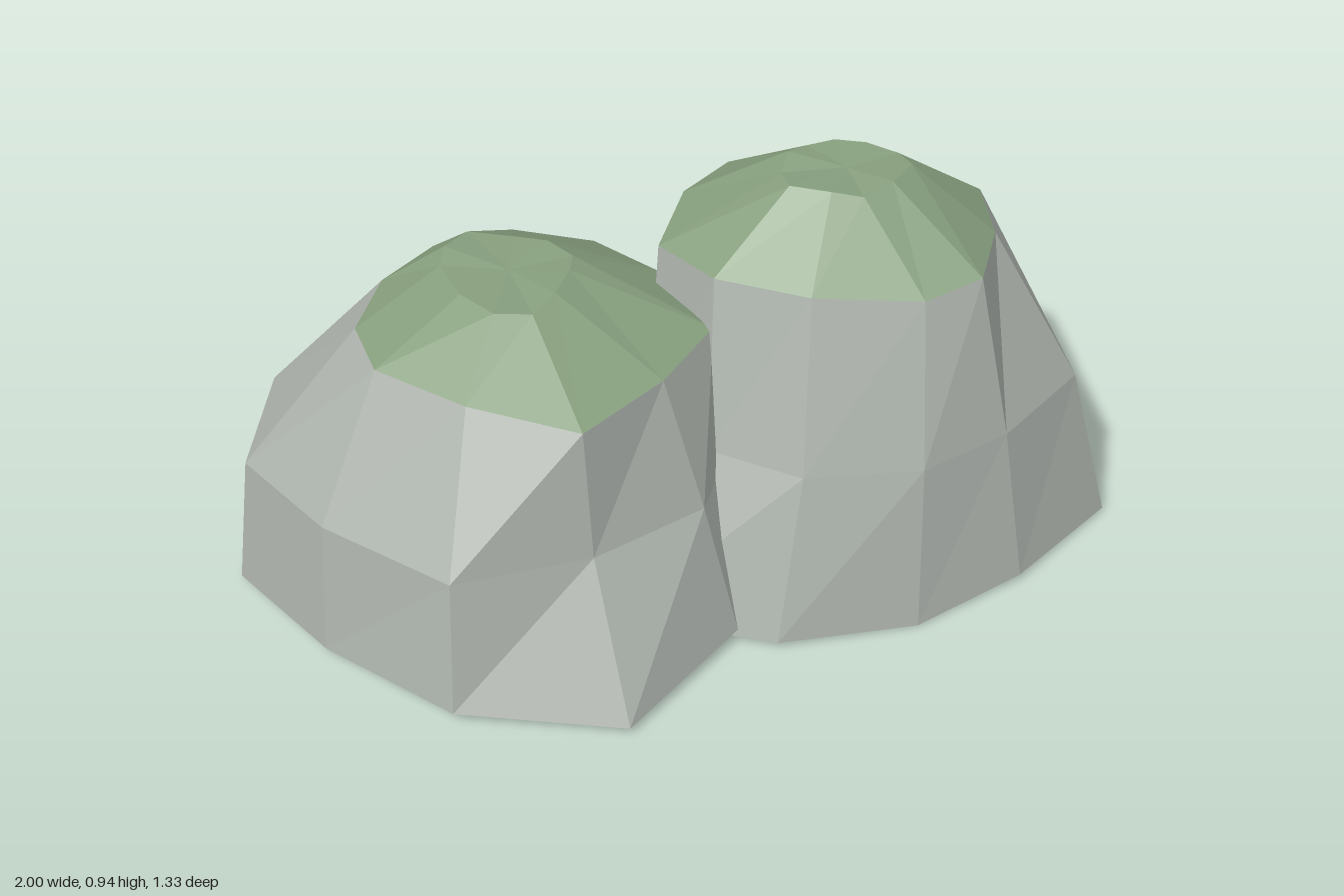
import * as THREE from 'three';

const SIDES = 11;
const material = (color) => new THREE.MeshStandardMaterial({ color, flatShading: true, side: THREE.DoubleSide });

// Place [x, z] outline points at a height, with a slight wobble
const ring = (y, points, wobble = 0) =>
  points.map(([x, z], i) => new THREE.Vector3(x, y + wobble * Math.sin(i * 2.3), z));

// Faceted skin through a stack of rings, optionally closed by a centre point
function skin(name, rings, mat, apex) {
  const pos = [];
  const tri = (...pts) => pts.forEach((p) => pos.push(p.x, p.y, p.z));
  for (let k = 0; k < rings.length - 1; k++) {
    const low = rings[k], up = rings[k + 1];
    for (let i = 0; i < SIDES; i++) {
      const j = (i + 1) % SIDES;
      tri(low[i], up[i], low[j]);
      tri(low[j], up[i], up[j]);
    }
  }
  if (apex) {
    const top = rings[rings.length - 1];
    top.forEach((p, i) => tri(p, apex, top[(i + 1) % SIDES]));
  }
  const geo = new THREE.BufferGeometry();
  geo.setAttribute('position', new THREE.Float32BufferAttribute(pos, 3));
  geo.computeVertexNormals();
  const mesh = new THREE.Mesh(geo, mat);
  mesh.name = name;
  return mesh;
}

// A rock: open-bottomed stone sides with a mossy cap
function rock(name, base, middle, shoulder, summit, apex, stone, moss) {
  const group = new THREE.Group();
  group.name = name;
  group.add(skin('stoneSides', [base, middle, shoulder], stone));
  group.add(skin('mossCap', [shoulder, summit], moss, apex));
  return group;
}

export function createModel() {
  const model = new THREE.Group();
  model.name = 'mossyRocks';
  const stone = material(0xacb2ac);
  const moss = material(0x879f7e);

  // Outlines run from +x round towards +z
  model.add(rock('tallRock',
    ring(0.01, [[1, -0.16], [0.8, 0.1], [0.57, 0.27], [0.26, 0.37], [-0.1, 0.31], [-0.24, 0],
      [-0.21, -0.33], [-0.04, -0.55], [0.27, -0.67], [0.6, -0.64], [0.91, -0.48]], 0.01),
    ring(0.4, [[0.9, -0.16], [0.74, 0.07], [0.56, 0.21], [0.3, 0.26], [0.09, 0.18], [-0.06, -0.02],
      [-0.07, -0.32], [0.0, -0.53], [0.28, -0.6], [0.57, -0.57], [0.77, -0.4]]),
    ring(0.78, [[0.69, -0.16], [0.66, 0.03], [0.54, 0.1], [0.3, 0.13], [0.09, 0.07], [-0.04, -0.06],
      [0.0, -0.25], [0.09, -0.4], [0.29, -0.45], [0.5, -0.42], [0.66, -0.34]], 0.01),
    ring(0.933, [[0.5, -0.18], [0.46, -0.1], [0.4, -0.05], [0.33, -0.05], [0.24, -0.07], [0.22, -0.13],
      [0.23, -0.2], [0.27, -0.24], [0.33, -0.27], [0.4, -0.25], [0.47, -0.23]], 0.006),
    new THREE.Vector3(0.36, 0.93, -0.16), stone, moss));

  model.add(rock('lowRock',
    ring(0.025, [[0.44, 0.11], [0.17, 0.35], [-0.04, 0.66], [-0.42, 0.66], [-0.73, 0.48], [-0.97, 0.25],
      [-1, -0.09], [-0.81, -0.4], [-0.41, -0.42], [-0.13, -0.4], [0.2, -0.13]], 0.008),
    ring(0.345, [[0.13, 0.1], [0.09, 0.31], [-0.13, 0.49], [-0.42, 0.6], [-0.72, 0.44], [-0.93, 0.24],
      [-0.93, -0.07], [-0.75, -0.35], [-0.39, -0.38], [-0.14, -0.33], [0.06, -0.15]]),
    ring(0.66, [[0.09, 0.08], [0, 0.28], [-0.15, 0.46], [-0.4, 0.4], [-0.61, 0.29], [-0.68, 0.14],
      [-0.65, -0.03], [-0.56, -0.18], [-0.39, -0.26], [-0.2, -0.22], [-0.05, -0.13]], 0.005),
    ring(0.78, [[-0.22, 0.06], [-0.24, 0.15], [-0.28, 0.22], [-0.36, 0.235], [-0.44, 0.17], [-0.5, 0.06],
      [-0.5, 0], [-0.46, -0.07], [-0.36, -0.06], [-0.28, -0.04], [-0.22, 0]], 0.005),
    new THREE.Vector3(-0.35, 0.78, 0.07), stone, moss));

  return model;
}
